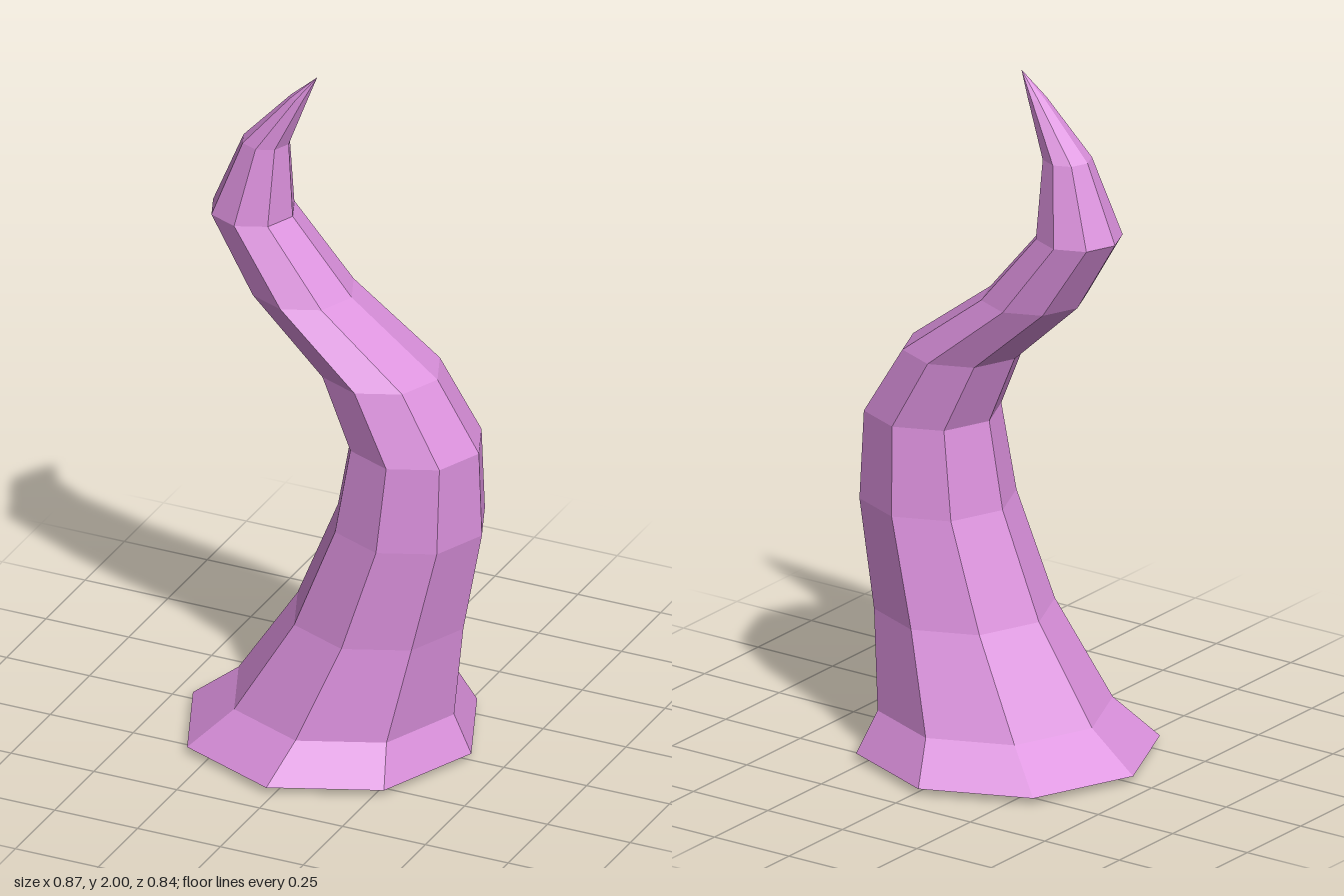
import * as THREE from 'three';

// Horizontal octagonal rings from base to tip: [centre x, height, radius]
const rings = [
  [-0.02, 0, 0],
  [-0.02, 0, 0.355],
  [-0.018, 0.02, 0.42],
  [0.025, 0.13, 0.325],
  [0.128, 0.4, 0.25],
  [0.217, 0.7, 0.217],
  [0.235, 0.95, 0.19],
  [0.13, 1.15, 0.17],
  [-0.105, 1.345, 0.146],
  [-0.257, 1.555, 0.12],
  [-0.217, 1.775, 0.068],
  [-0.116, 1.93, 0.026],
  [-0.063, 2, 0],
];

export function createModel() {
  const group = new THREE.Group();
  group.name = 'curvedTentacle';

  // Turn a straight eight-sided spike, then slide each ring sideways to bend it
  const profile = rings.map(([, y, r]) => new THREE.Vector2(r, y));
  const lathe = new THREE.LatheGeometry(profile, 8);
  const pos = lathe.attributes.position;
  for (let i = 0; i < pos.count; i++) {
    pos.setX(i, pos.getX(i) + rings[i % rings.length][0]);
  }
  const geometry = lathe.toNonIndexed();
  geometry.computeVertexNormals();

  const material = new THREE.MeshStandardMaterial({ color: 0xd98fdb, flatShading: true });
  const tentacle = new THREE.Mesh(geometry, material);
  tentacle.name = 'tentacle';
  group.add(tentacle);
  return group;
}
